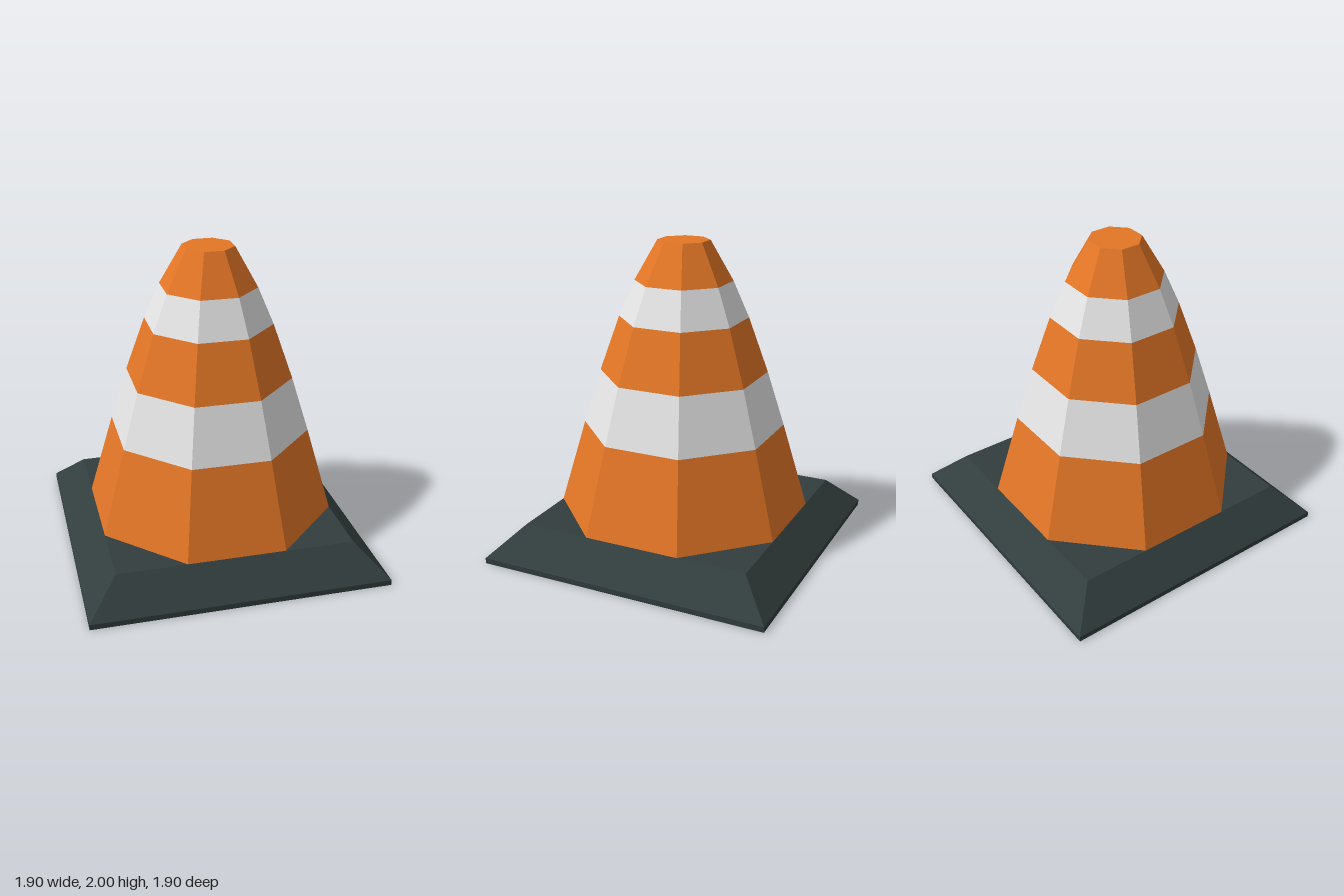
import * as THREE from 'three';

export function createModel() {
  const model = new THREE.Group();
  model.name = 'trafficCone';

  const material = (name, color) => {
    const m = new THREE.MeshStandardMaterial({ color, flatShading: true, side: THREE.DoubleSide });
    m.name = name;
    return m;
  };
  const orange = material('orange', 0xe47626);
  const white = material('white', 0xe6e6e6);
  const charcoal = material('charcoal', 0x323d3d);

  // Open prism ring whose flat sides face the axes; sizes are centre-to-side distances
  function ring(name, sides, [r0, y0], [r1, y1], mat) {
    const k = 1 / Math.cos(Math.PI / sides);
    const geometry = new THREE.CylinderGeometry(r1 * k, r0 * k, y1 - y0, sides, 1, true, Math.PI / sides);
    geometry.translate(0, (y0 + y1) / 2, 0);
    add(name, geometry, mat);
  }

  // Flat polygon closing a ring at its top
  function cap(name, sides, [r, y], mat) {
    const geometry = new THREE.CircleGeometry(r / Math.cos(Math.PI / sides), sides, Math.PI / sides);
    geometry.rotateX(-Math.PI / 2).translate(0, y, 0);
    add(name, geometry, mat);
  }

  function add(name, geometry, mat) {
    const mesh = new THREE.Mesh(geometry, mat);
    mesh.name = name;
    model.add(mesh);
  }

  // Square base, hollow underneath
  const base = [[0.95, 0], [0.95, 0.035], [0.757, 0.23]];
  ring('baseRim', 4, base[0], base[1], charcoal);
  ring('baseSlope', 4, base[1], base[2], charcoal);
  cap('baseTop', 4, base[2], charcoal);

  // Eight-sided body in alternating bands
  const body = [[0.757, 0.23], [0.604, 0.792], [0.5, 1.152], [0.382, 1.51], [0.288, 1.744], [0.153, 2]];
  for (let i = 0; i < body.length - 1; i++) {
    const striped = i % 2 === 1;
    ring(`${striped ? 'whiteStripe' : 'orangeBand'}${i + 1}`, 8, body[i], body[i + 1], striped ? white : orange);
  }
  cap('tip', 8, body[body.length - 1], orange);

  return model;
}
